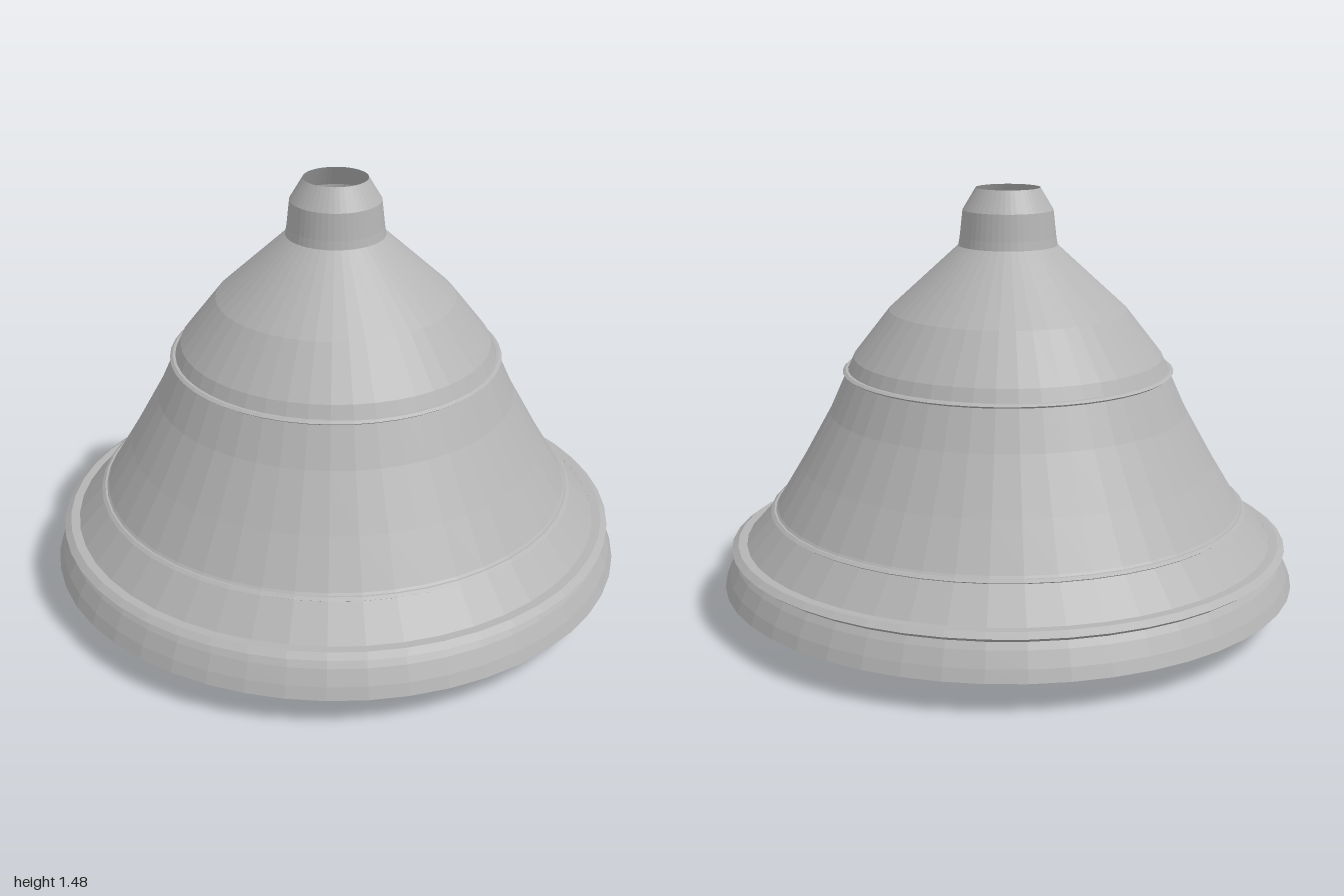
import * as THREE from 'three';

const SIDES = 48;

export function createModel() {
  const bell = new THREE.Group();
  bell.name = 'bell';
  const metal = new THREE.MeshStandardMaterial({
    color: 0xb4b4b4, flatShading: true, side: THREE.DoubleSide,
  });
  metal.name = 'grey metal';

  // Revolves [radius, height] pairs, listed from bottom to top, about the y axis
  const turn = (name, profile, parent = bell, sides = SIDES) => {
    const points = profile.map(([r, y]) => new THREE.Vector2(r, y));
    const mesh = new THREE.Mesh(new THREE.LatheGeometry(points, sides), metal);
    mesh.name = name;
    parent.add(mesh);
    return mesh;
  };

  // Flared shell, open at the bottom and the top
  turn('shell', [
    [1, 0.11], [0.985, 0.15], [0.96, 0.2], [0.925, 0.25], [0.81, 0.38],
    [0.72, 0.53], [0.62, 0.71], [0.535, 0.9], [0.41, 1.06], [0.17, 1.28],
  ]);

  // Inner lip that thickens the mouth
  turn('innerLip', [[1, 0.11], [0.93, 0.11], [0.92, 0.16], [0.905, 0.27]]);

  // Open collar at the crown
  turn('crown', [[0.17, 1.28], [0.165, 1.31], [0.155, 1.4], [0.11, 1.475]]);

  // Thin raised bands: inner radius, outer radius, height, half thickness
  const bands = [
    ['upperBand', 0.55, 0.573, 0.85, 0.007],
    ['middleBand', 0.805, 0.834, 0.365, 0.008],
    ['lowerBand', 0.92, 0.973, 0.24, 0.016],
  ];
  for (const [name, inner, outer, y, t] of bands) {
    const shoulder = outer - t * 1.4;
    turn(name, [
      [inner, y - t], [shoulder, y - t], [outer, y],
      [shoulder, y + t], [inner, y + t], [inner, y - t],
    ]);
  }

  // Clapper: hollow rod with an open collar-shaped weight
  const clapper = new THREE.Group();
  clapper.name = 'clapper';
  bell.add(clapper);
  turn('clapperRod', [[0.05, 0.03], [0.05, 1.28]], clapper, 24);
  turn('clapperWeight', [
    [0.17, 0], [0.178, 0.06], [0.175, 0.1], [0.15, 0.125], [0.115, 0.14],
  ], clapper, 32);

  return bell;
}
